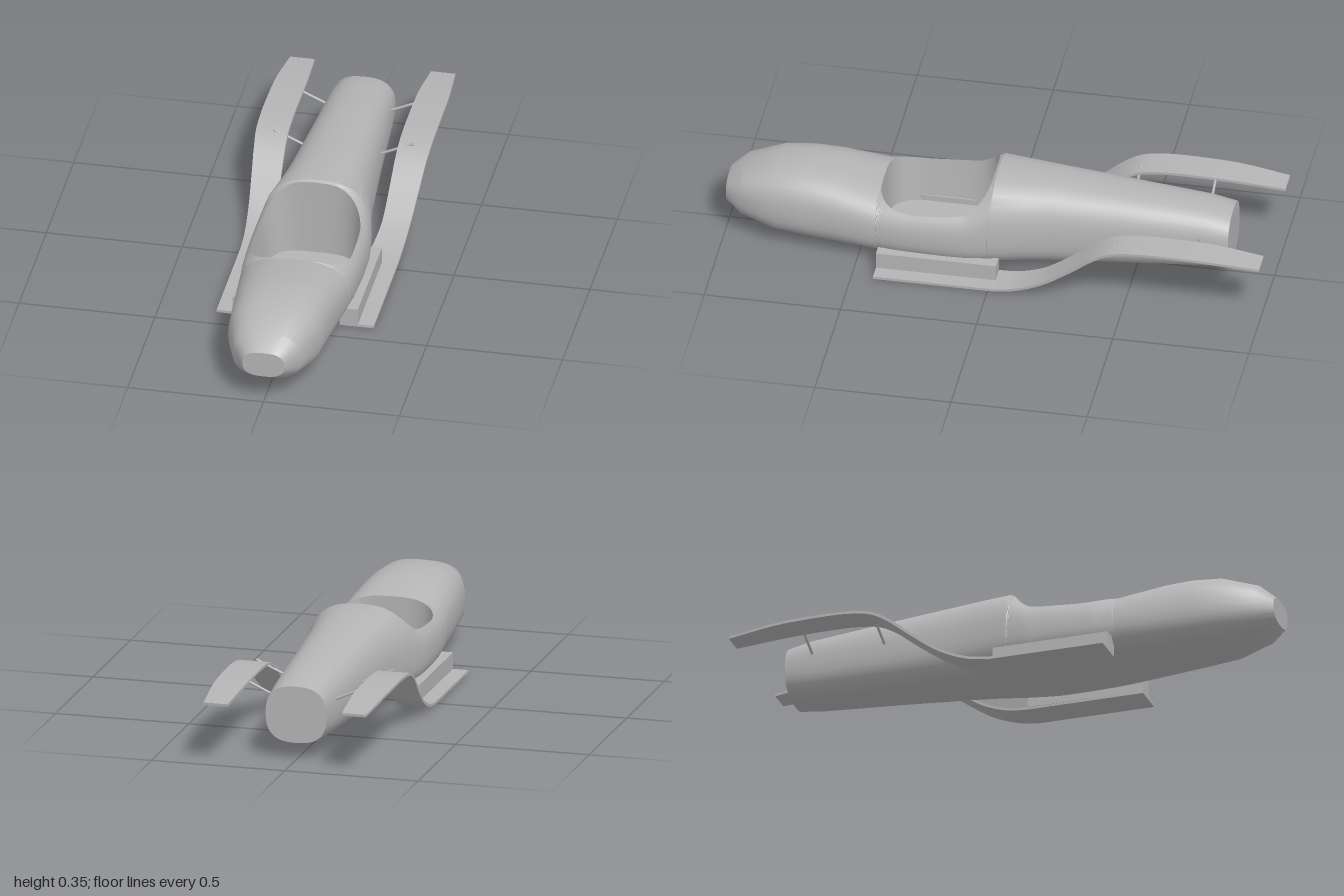
import * as THREE from 'three';
import { toCreasedNormals } from 'three/addons/utils/BufferGeometryUtils.js';

const paint = new THREE.MeshStandardMaterial({ color: 0xb4b4b4 });
paint.name = 'light grey';

// Skin a list of equally long rows of Vector3
function loft(rows, crease, flip = false) {
  const pos = [];
  const e1 = new THREE.Vector3(), e2 = new THREE.Vector3();
  const tri = (a, b, c) => {
    if (e1.subVectors(b, a).cross(e2.subVectors(c, a)).length() < 1e-9) return;
    for (const v of flip ? [a, c, b] : [a, b, c]) pos.push(v.x, v.y, v.z);
  };
  for (let i = 0; i < rows.length - 1; i++) {
    for (let j = 0; j < rows[i].length - 1; j++) {
      const a = rows[i][j], b = rows[i][j + 1], c = rows[i + 1][j + 1], d = rows[i + 1][j];
      tri(a, b, c);
      tri(a, c, d);
    }
  }
  const g = new THREE.BufferGeometry();
  g.setAttribute('position', new THREE.Float32BufferAttribute(pos, 3));
  return toCreasedNormals(g, crease);
}

function part(name, geometry, parent) {
  const m = new THREE.Mesh(geometry, paint);
  m.name = name;
  parent.add(m);
  return m;
}

// Interpolate a table whose first column is a falling z
function sample(table, z) {
  let i = 0;
  while (i < table.length - 2 && z < table[i + 1][0]) i++;
  const a = table[i], b = table[i + 1];
  const t = (z - a[0]) / (b[0] - a[0]);
  return a.map((v, k) => v + (b[k] - v) * t);
}

// Fuselage stations: z, half width, bottom, widest height, top
const STATIONS = [
  [1, 0.077, 0.107, 0.156, 0.205],
  [0.94, 0.125, 0.07, 0.155, 0.255],
  [0.81, 0.168, 0.037, 0.15, 0.296],
  [0.7, 0.178, 0.028, 0.147, 0.303],
  [0.6, 0.187, 0.022, 0.143, 0.295],
  [0.43, 0.202, 0.013, 0.135, 0.262],
  [0.35, 0.21, 0.01, 0.132, 0.268],
  [0.2, 0.215, 0.008, 0.13, 0.28],
  [0.1, 0.212, 0.008, 0.13, 0.292],
  [0.01, 0.2, 0.011, 0.138, 0.349],
  [-0.1, 0.176, 0.017, 0.142, 0.348],
  [-0.2, 0.162, 0.023, 0.145, 0.342],
  [-0.45, 0.142, 0.037, 0.155, 0.322],
  [-0.76, 0.122, 0.053, 0.165, 0.293],
  [-0.85, 0.114, 0.063, 0.168, 0.274],
];
const P = 0.76, HALF = 18;

// One ring, running from the opening edge on +x under the belly to -x
function ring(z, w) {
  const [, hw, bottom, cy, top] = sample(STATIONS, z);
  const a0 = Math.asin(Math.pow(w / hw, 1 / P));
  const pts = [];
  for (let j = 0; j <= HALF; j++) {
    const a = a0 + (Math.PI - a0) * (j / HALF);
    const c = Math.cos(a);
    const x = j === HALF ? 0 : hw * Math.pow(Math.abs(Math.sin(a)), P);
    const y = cy + Math.sign(c) * Math.pow(Math.abs(c), P) * (c > 0 ? top - cy : cy - bottom);
    pts.push(new THREE.Vector3(x, y, z));
  }
  const mirrored = pts.slice(0, -1).reverse().map((p) => new THREE.Vector3(-p.x, p.y, p.z));
  return [...pts, ...mirrored];
}

function buildBody(group) {
  // Rounded cockpit opening, z from 0.43 to 0.02
  const opening = [];
  const M = 32;
  for (let i = 0; i <= M; i++) {
    const t = (Math.PI * i) / M, c = Math.cos(t);
    const w = i % M === 0 ? 0 : 0.185 * Math.pow(Math.sin(t), 0.56);
    opening.push({ w, z: 0.225 + 0.205 * Math.sign(c) * Math.pow(Math.abs(c), 0.56) });
  }
  const solid = STATIONS.map((s) => s[0]).filter((z) => z > 0.431 || z < 0.019);
  const cut = opening.map((o) => ring(o.z, o.w));
  const rows = [
    ...solid.filter((z) => z > 0.43).map((z) => ring(z, 0)),
    ...cut,
    ...solid.filter((z) => z < 0.02).map((z) => ring(z, 0)),
  ];
  // Flat nose and tail caps
  const cap = (row, y) => row.map((p) => new THREE.Vector3(0, y, p.z));
  rows.unshift(cap(rows[0], 0.156));
  rows.push(cap(rows[rows.length - 1], 0.168));
  part('fuselage', loft(rows, 0.42), group);

  // Cockpit walls and floor
  const well = cut.map((r) => {
    const a = r[0], b = r[r.length - 1];
    return [b, new THREE.Vector3(b.x * 0.9, 0.05, b.z), new THREE.Vector3(a.x * 0.9, 0.05, a.z), a];
  });
  part('cockpitWell', loft(well, 0.6), group);
}

// Wing spine: z, mid height, inner x, outer x
const SPINE = [
  [0.42, 0.005, 0.163, 0.289],
  [0.2, 0.005, 0.163, 0.289],
  [-0.02, 0.006, 0.165, 0.289],
  [-0.1, 0.02, 0.178, 0.291],
  [-0.2, 0.062, 0.194, 0.297],
  [-0.3, 0.132, 0.199, 0.306],
  [-0.4, 0.209, 0.202, 0.316],
  [-0.46, 0.238, 0.203, 0.321],
  [-0.55, 0.251, 0.203, 0.323],
  [-0.7, 0.252, 0.203, 0.322],
  [-0.82, 0.247, 0.204, 0.319],
  [-1, 0.228, 0.214, 0.304],
];

function wingGeometry(side) {
  // Smooth the curved part, keep the runner flat
  const curveOf = (k) => new THREE.CatmullRomCurve3(
    SPINE.slice(2).map((s) => new THREE.Vector3(s[k], s[1], s[0])));
  const inner = curveOf(2), outer = curveOf(3);
  const stations = [{ z: 0.42, y: 0.005, xi: 0.163, xo: 0.289, ny: 1, nz: 0 }];
  const N = 36;
  for (let i = 0; i <= N; i++) {
    const a = inner.getPoint(i / N), b = outer.getPoint(i / N), t = inner.getTangent(i / N);
    const l = Math.hypot(t.y, t.z);
    stations.push({ z: a.z, y: a.y, xi: a.x, xo: b.x, ny: -t.z / l, nz: t.y / l });
  }
  const rows = stations.map((s) => {
    const h = 0.005;
    const pt = (x, d) => new THREE.Vector3(x * side, Math.max(0, s.y + s.ny * d), s.z + s.nz * d);
    return [pt(s.xi, h), pt(s.xo, h), pt(s.xo, -h), pt(s.xi, -h), pt(s.xi, h)];
  });
  const close = (r) => {
    const m = r[0].clone().add(r[2]).multiplyScalar(0.5);
    return r.map(() => m);
  };
  rows.unshift(close(rows[0]));
  rows.push(close(rows[rows.length - 1]));
  return loft(rows, 0.5, side < 0);
}

function rod(name, from, to, r, parent) {
  const a = new THREE.Vector3(...from), b = new THREE.Vector3(...to);
  const dir = b.clone().sub(a);
  const m = part(name, new THREE.CylinderGeometry(r, r, dir.length(), 12), parent);
  m.position.copy(a).add(b).multiplyScalar(0.5);
  m.quaternion.setFromUnitVectors(new THREE.Vector3(0, 1, 0), dir.normalize());
}

export function createModel() {
  const model = new THREE.Group();
  model.name = 'racer';
  buildBody(model);

  for (const side of [1, -1]) {
    const g = new THREE.Group();
    g.name = side > 0 ? 'leftSide' : 'rightSide';
    model.add(g);
    part('wing', wingGeometry(side), g);
    // Block joining the runner to the fuselage
    const block = part('sidePod', new THREE.BoxGeometry(0.068, 0.063, 0.44), g);
    block.position.set(side * 0.197, 0.0405, 0.2);
    // Struts holding the wing to the tail
    rod('frontStrut', [side * 0.12, 0.188, -0.463], [side * 0.257, 0.25, -0.463], 0.005, g);
    rod('rearStrut', [side * 0.1, 0.2, -0.745], [side * 0.21, 0.25, -0.745], 0.005, g);
  }
  return model;
}
